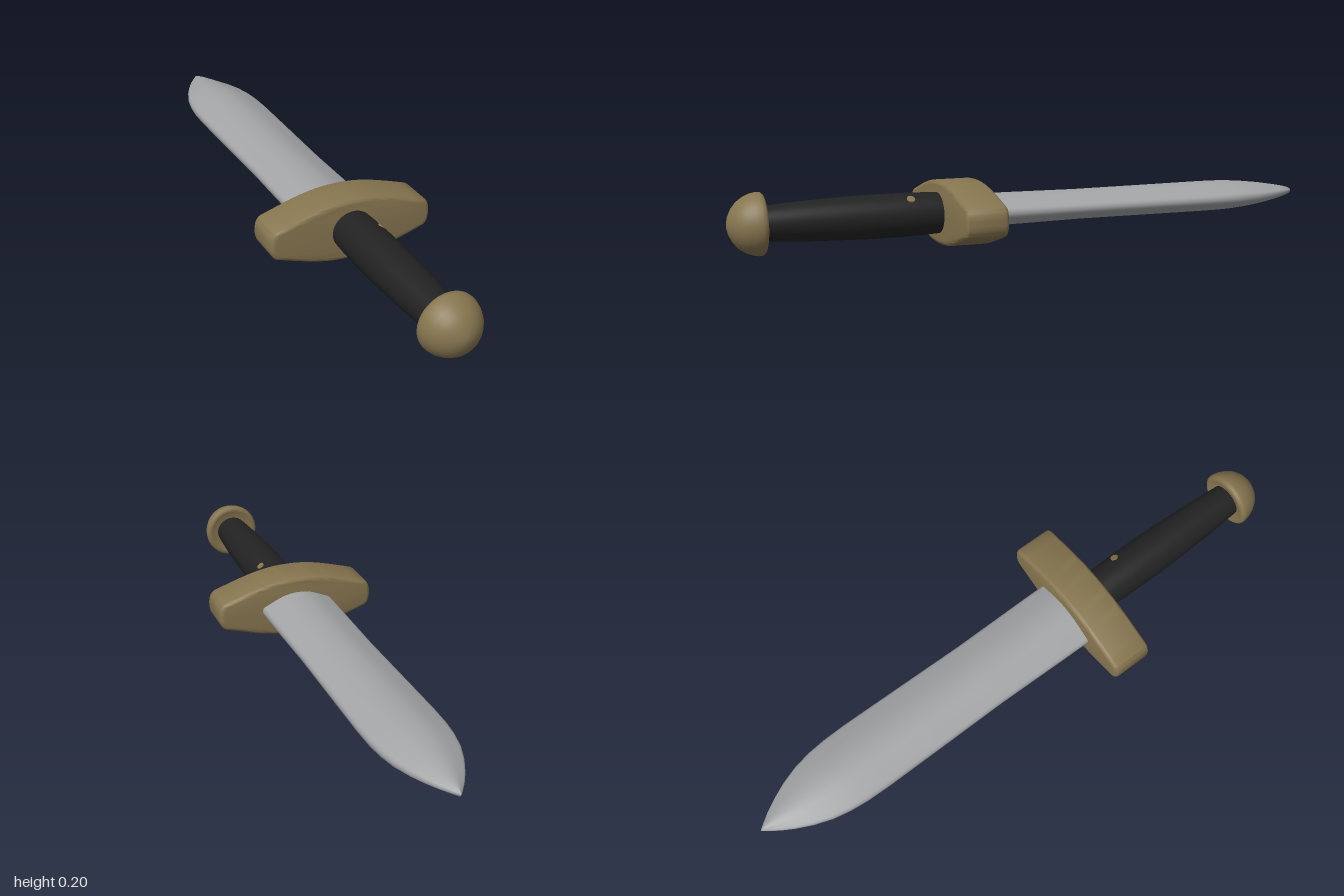
import * as THREE from 'three';
import { toCreasedNormals } from 'three/addons/utils/BufferGeometryUtils.js';

const AXIS_Y = 0.103; // height of the dagger's long axis
const V = (x, y) => new THREE.Vector2(x, y);

// Lofts the blade's rounded lens section through [z, halfWidth, halfThickness] stations
function bladeGeometry(stations) {
  const quarter = [[1, 0], [0.985, 0.2], [0.93, 0.31], [0.8, 0.45], [0.6, 0.67], [0.4, 0.86], [0.2, 0.97]];
  const ring = [];
  for (let q = 0; q < 4; q++) {
    const sx = q === 0 || q === 3 ? 1 : -1;
    const sy = q < 2 ? 1 : -1;
    const pts = q % 2 === 0 ? quarter : [[0, 1], ...quarter.slice(1).reverse()];
    for (const [x, y] of pts) ring.push([sx * x, sy * y]);
  }
  const n = ring.length, positions = [], index = [];
  stations.forEach(([z, w, t], i) => {
    for (const [x, y] of ring) positions.push(x * w, y * t, z);
    if (i === 0) return;
    for (let j = 0; j < n; j++) {
      const a = (i - 1) * n + j, b = (i - 1) * n + (j + 1) % n;
      index.push(a, a + n, b, b, a + n, b + n);
    }
  });
  const geo = new THREE.BufferGeometry();
  geo.setAttribute('position', new THREE.Float32BufferAttribute(positions, 3));
  geo.setIndex(index);
  geo.computeVertexNormals();
  return geo;
}

// Turned part along z from [radius, z] points
function turned(points) {
  return new THREE.LatheGeometry(points.map(([r, z]) => V(r, z)), 48).rotateX(Math.PI / 2);
}

export function createModel() {
  const steel = new THREE.MeshStandardMaterial({ color: 0xa3a4a6 });
  const brass = new THREE.MeshStandardMaterial({ color: 0x86754f });
  const leather = new THREE.MeshStandardMaterial({ color: 0x222222 });
  steel.name = 'steel';
  brass.name = 'brass';
  leather.name = 'blackLeather';

  const model = new THREE.Group();
  model.name = 'dagger';
  const add = (name, geo, mat) => {
    const mesh = new THREE.Mesh(geo, mat);
    mesh.name = name;
    mesh.position.y = AXIS_Y;
    model.add(mesh);
    return mesh;
  };

  // Blade: almost parallel sides, then a curved taper to the point
  add('blade', bladeGeometry([
    [0.24, 0.124, 0.052], [0.1, 0.123, 0.051], [-0.15, 0.12, 0.048], [-0.4, 0.123, 0.049],
    [-0.6, 0.125, 0.05], [-0.68, 0.123, 0.05], [-0.74, 0.117, 0.048], [-0.8, 0.105, 0.043],
    [-0.86, 0.084, 0.036], [-0.91, 0.06, 0.028], [-0.95, 0.037, 0.021], [-0.98, 0.016, 0.014],
    [-0.995, 0.005, 0.008], [-1, 0.0005, 0.001],
  ]), steel);

  // Guard: bowed outline with blunt rounded ends and softened edges
  const s = new THREE.Shape();
  s.moveTo(0.273, 0);
  s.quadraticCurveTo(0.273, 0.038, 0.252, 0.048);
  s.bezierCurveTo(0.13, 0.088, 0.08, 0.102, 0, 0.102);
  s.bezierCurveTo(-0.08, 0.102, -0.13, 0.088, -0.252, 0.048);
  s.quadraticCurveTo(-0.273, 0.038, -0.273, 0);
  s.quadraticCurveTo(-0.273, -0.038, -0.252, -0.048);
  s.bezierCurveTo(-0.13, -0.088, -0.08, -0.102, 0, -0.102);
  s.bezierCurveTo(0.08, -0.102, 0.13, -0.088, 0.252, -0.048);
  s.quadraticCurveTo(0.273, -0.038, 0.273, 0);
  const bevel = 0.014;
  const guard = new THREE.ExtrudeGeometry(s, {
    depth: 0.138 - 2 * bevel, bevelThickness: bevel, bevelSize: bevel,
    bevelOffset: -bevel, bevelSegments: 4, curveSegments: 10,
  });
  guard.translate(0, 0, 0.2 + bevel);
  add('guard', toCreasedNormals(guard, 0.7), brass);

  // Grip: swells near the guard and narrows toward the pommel
  const grip = add('grip', turned([
    [0.067, 0.32], [0.07, 0.38], [0.072, 0.46], [0.072, 0.56],
    [0.069, 0.66], [0.065, 0.76], [0.059, 0.85], [0.054, 0.92],
  ]), leather);
  grip.scale.y = 0.96;

  // Pommel: mushroom dome with a rolled rim
  add('pommel', turned([
    [0, 0.9], [0.06, 0.898], [0.08, 0.89], [0.09, 0.891], [0.096, 0.897], [0.097, 0.908],
    [0.093, 0.927], [0.084, 0.948], [0.07, 0.968], [0.052, 0.983], [0.03, 0.994], [0.012, 0.999], [0, 1],
  ]), brass);

  // Small stud on the upper side of the grip
  const stud = add('gripStud', new THREE.CylinderGeometry(0.013, 0.013, 0.006, 12), brass);
  const angle = 0.9;
  stud.position.set(Math.cos(angle) * 0.071, AXIS_Y + Math.sin(angle) * 0.0685, 0.44);
  stud.rotation.z = angle - Math.PI / 2;

  return model;
}
